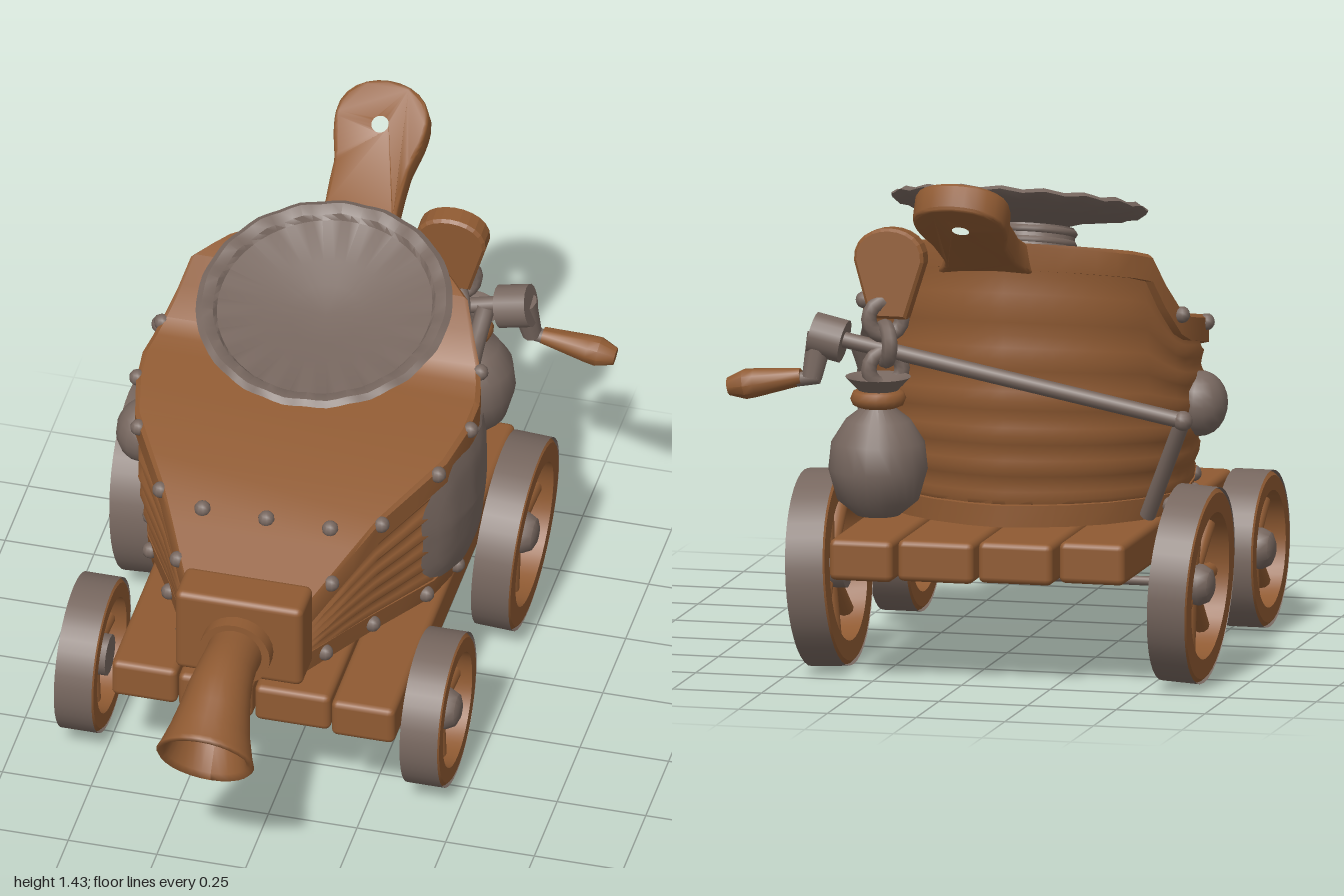
import * as THREE from 'three';
import { toCreasedNormals } from 'three/addons/utils/BufferGeometryUtils.js';
import { RoundedBoxGeometry } from 'three/addons/geometries/RoundedBoxGeometry.js';

const wood = new THREE.MeshStandardMaterial({ color: 0x8f5a32 });
wood.name = 'brown wood and leather';
const iron = new THREE.MeshStandardMaterial({ color: 0x77675f, side: THREE.DoubleSide });
iron.name = 'grey iron';
const CX = -0.065; // centre line of the cart

const V = (x, y, z) => new THREE.Vector3(x, y, z);

function add(parent, name, geo, mat, x = 0, y = 0, z = 0) {
  const m = new THREE.Mesh(geo, mat);
  m.name = name;
  m.position.set(x, y, z);
  parent.add(m);
  return m;
}

// Piecewise linear lookup in a list of [key, value] with falling keys
function lookup(list, k) {
  if (k >= list[0][0]) return list[0][1];
  for (let i = 1; i < list.length; i++) {
    const [k0, v0] = list[i - 1], [k1, v1] = list[i];
    if (k >= k1) return v0 + (v1 - v0) * (k0 - k) / (k0 - k1);
  }
  return list[list.length - 1][1];
}

const topLine = [[0.47, 0.74], [0.22, 0.86], [0, 0.92], [-0.28, 0.975], [-0.33, 1], [-0.38, 1.08], [-0.42, 1.16], [-0.46, 1.175], [-0.56, 1.2], [-0.65, 1.22]];
const bottomLine = [[0.47, 0.49], [0, 0.44], [-0.2, 0.42], [-0.65, 0.42]];
const widthLine = [[0.47, 0.18], [0.24, 0.3], [0, 0.44], [-0.12, 0.468], [-0.22, 0.475], [-0.32, 0.455],
  [-0.42, 0.39], [-0.5, 0.31], [-0.56, 0.21], [-0.6, 0.1], [-0.615, 0.02]];
const yTop = z => lookup(topLine, z), yBottom = z => lookup(bottomLine, z), halfWidth = z => lookup(widthLine, z);
const BASE = 0.92; // the bottom board is a little narrower than the top one

// Half outline of the bellows, front to back
const stations = [0.47, 0.4, 0.32, 0.22, 0.12, 0, -0.12, -0.22, -0.28, -0.33, -0.38, -0.42, -0.46, -0.5, -0.53, -0.56, -0.58, -0.6, -0.615];

// Closed stack of mirrored outlines; each level maps (x, z) to a point
function loft(levels, crease) {
  const n = stations.length, pos = [], idx = [];
  const loop = [...stations.map(z => [halfWidth(z), z]), ...stations.map(z => [-halfWidth(z), z]).reverse()];
  levels.forEach(f => loop.forEach(([x, z]) => pos.push(...f(x, z))));
  const quad = (a, b, c, d) => idx.push(a, b, c, a, c, d);
  const N = 2 * n, last = (levels.length - 1) * N;
  for (let k = 0; k < levels.length - 1; k++)
    for (let i = 0; i < N; i++) {
      const j = (i + 1) % N;
      quad(k * N + i, k * N + j, (k + 1) * N + j, (k + 1) * N + i);
    }
  for (let i = 0; i < n - 1; i++) {
    quad(last + i, last + i + 1, last + N - 2 - i, last + N - 1 - i);
    quad(N - 1 - i, N - 2 - i, i + 1, i);
  }
  const g = new THREE.BufferGeometry();
  g.setAttribute('position', new THREE.Float32BufferAttribute(pos, 3));
  g.setIndex(idx);
  return toCreasedNormals(g, crease);
}

const lathe = (pts, seg = 32) => toCreasedNormals(new THREE.LatheGeometry(pts.map(p => new THREE.Vector2(...p)), seg), 0.7);

// Straight rod between two points
function rod(parent, name, a, b, r, mat, r2 = r) {
  const m = add(parent, name, new THREE.CylinderGeometry(r2, r, a.distanceTo(b), 10), mat);
  m.position.copy(a).add(b).multiplyScalar(0.5);
  m.quaternion.setFromUnitVectors(V(0, 1, 0), b.clone().sub(a).normalize());
  return m;
}

function wheel(name, R, side) {
  const g = new THREE.Group(), w = 0.055, inner = R * 0.76;
  g.name = name;
  const ring = lathe([[inner, -w], [R - 0.01, -w], [R, -w + 0.01], [R, w - 0.01], [R - 0.01, w], [inner, w], [inner, -w]], 40);
  add(g, 'wheelRim', ring.rotateZ(Math.PI / 2), wood);
  add(g, 'wheelTyre', new THREE.CylinderGeometry(R + 0.004, R + 0.004, 2 * w - 0.004, 40, 1, true).rotateZ(Math.PI / 2), iron);
  for (let i = 0; i < 8; i++) {
    const a = i * Math.PI / 4;
    rod(g, 'spoke', V(0, 0, 0), V(0, Math.cos(a) * (inner + 0.01), Math.sin(a) * (inner + 0.01)), 0.018, wood, 0.024);
  }
  const hub = lathe([[0, -0.05], [0.058, -0.05], [0.058, 0.03], [0.045, 0.055], [0.025, 0.064], [0, 0.064]], 12);
  add(g, 'hub', hub.rotateZ(-side * Math.PI / 2), iron);
  return g;
}

export function createModel() {
  const root = new THREE.Group();
  root.name = 'bellowsCart';
  const body = new THREE.Group();
  body.name = 'bellows';
  body.position.x = CX;
  root.add(body);

  // Boards and softly pleated leather
  add(body, 'topBoard', loft([(x, z) => [x, yTop(z) - 0.075, z], (x, z) => [x, yTop(z) - 0.01, z],
    (x, z) => [x * 0.97, yTop(z), z]], 0.6), wood);
  add(body, 'bottomBoard', loft([(x, z) => [x * (BASE - 0.02), yBottom(z), z], (x, z) => [x * BASE, yBottom(z) + 0.06, z]], 0.6), wood);
  const pleats = [];
  for (let k = 0; k <= 24; k++) {
    const t = k / 24, bulge = 0.9 + 0.05 * t + 0.045 * Math.sin(Math.PI * t), fold = Math.sin(t * Math.PI * 12);
    pleats.push((x, z) => {
      const y0 = yBottom(z) + 0.05, even = Math.min(yTop(z), 0.92 - 0.22 * z);
      const front = z > -0.05, s = bulge + fold * (front ? 0.028 : 0.009) - (front ? 0.02 : 0);
      return [x * s, y0 + t * (even - y0 - 0.05) + t ** 4 * (yTop(z) - even), z < -0.1 ? -0.1 + (z + 0.1) * (s + 0.05) : z];
    });
  }
  add(body, 'leather', loft(pleats, 1.2), wood);

  // Slightly sagging handle with a hanging hole
  const hs = new THREE.Shape();
  hs.moveTo(-0.16, 0);
  hs.quadraticCurveTo(-0.1, 0.05, -0.092, 0.16);
  for (const y of [0.22, 0.28]) hs.lineTo(-0.095, y);
  hs.bezierCurveTo(-0.1, 0.32, -0.12, 0.36, -0.12, 0.42);
  hs.bezierCurveTo(-0.12, 0.55, 0.12, 0.55, 0.12, 0.42);
  hs.bezierCurveTo(0.12, 0.36, 0.1, 0.32, 0.095, 0.28);
  for (const y of [0.22, 0.16]) hs.lineTo(0.092, y);
  hs.quadraticCurveTo(0.1, 0.05, 0.16, 0);
  hs.holes.push(new THREE.Path().absarc(0, 0.4, 0.024, 0, Math.PI * 2, true));
  const hg = new THREE.ExtrudeGeometry(hs, { depth: 0.06, bevelSize: 0.01, bevelThickness: 0.01, bevelSegments: 2, curveSegments: 12 });
  const hp = hg.attributes.position;
  for (let i = 0; i < hp.count; i++) hp.setZ(i, hp.getZ(i) - 0.022 * Math.sin(Math.PI * hp.getY(i) / 0.52));
  const handle = add(body, 'handle', toCreasedNormals(hg, 0.9), wood, 0.03, 1.11, -0.54);
  handle.rotation.x = -(Math.PI / 2 - 0.53);

  // Nozzle block and bent flaring nozzle
  add(body, 'nozzleBlock', new RoundedBoxGeometry(0.36, 0.26, 0.13, 3, 0.02), wood, 0, 0.65, 0.515);
  add(body, 'nozzleCollar', new THREE.CylinderGeometry(0.1, 0.1, 0.05, 24).rotateX(Math.PI / 2), wood, 0, 0.63, 0.595);
  const path = new THREE.CatmullRomCurve3([V(0, 0.63, 0.58), V(0, 0.64, 0.68), V(0, 0.632, 0.77), V(0, 0.575, 0.86), V(0, 0.507, 0.945)]);
  const ng = new THREE.LatheGeometry([[0.078, 0], [0.076, 0.2], [0.08, 0.35], [0.088, 0.5], [0.098, 0.65], [0.112, 0.8], [0.13, 0.94],
    [0.137, 0.98], [0.13, 1], [0.115, 0.97], [0.09, 0.8], [0.07, 0.6], [0, 0.55]].map(p => new THREE.Vector2(...p)), 28);
  const np = ng.attributes.position;
  for (let i = 0; i < np.count; i++) {
    const s = np.getY(i), c = path.getPointAt(s), t = path.getTangentAt(s);
    t.y *= 1 - 0.3 * s; // the mouth stands more upright than the bend
    c.addScaledVector(V(1, 0, 0).cross(t.normalize()), np.getZ(i));
    np.setXYZ(i, np.getX(i), c.y, c.z);
  }
  ng.computeVertexNormals();
  add(body, 'nozzle', ng, wood);

  // Rivets along both boards and across the front
  const rivet = new THREE.SphereGeometry(0.023, 10, 8);
  for (const s of [-1, 1])
    for (const z of [0.4, 0.22, 0.03, -0.14, -0.33]) {
      add(body, 'rivet', rivet, iron, s * halfWidth(z), yTop(z) - 0.02, z);
      add(body, 'rivet', rivet, iron, s * halfWidth(z) * BASE, yBottom(z) + 0.03, z);
    }
  for (const x of [-0.18, 0, 0.18]) add(body, 'rivet', rivet, iron, x, yTop(0.27) + 0.002, 0.27);

  // Large bent patch on the left, small bulging one on the right
  const pg = new THREE.RingGeometry(0.001, 1, 40, 6), pp = pg.attributes.position;
  for (let i = 0; i < pp.count; i++) {
    const u = pp.getX(i), v = pp.getY(i), r = Math.hypot(u, v);
    const k = r / Math.pow(Math.abs(u) ** 3.4 + Math.abs(v) ** 3.4, 1 / 3.4) * (1 + 0.02 * Math.sin(7 * Math.atan2(v, u)));
    const z = -0.15 - u * k * 0.215;
    const lean = 0.02 * Math.max(0, -v * k) + 0.02 * Math.max(0, -u * k) ** 2;
    pp.setXYZ(i, halfWidth(z) + 0.018 - 0.012 * r ** 6 - lean, 0.69 + v * k * 0.195, z);
  }
  pg.computeVertexNormals();
  add(body, 'largePatch', pg, iron);
  add(body, 'smallPatch', new THREE.SphereGeometry(1, 16, 12).scale(0.075, 0.09, 0.085), iron, -0.465, 0.71, -0.19);

  // Tilted dish with a beaten rim, on its threaded neck
  const dish = new THREE.Group();
  dish.name = 'dish';
  dish.position.set(-0.02, 1.24, -0.19);
  dish.rotation.x = 0.28;
  root.add(dish);
  const bowl = new THREE.LatheGeometry([[0, -0.062], [0.12, -0.058], [0.2, -0.034], [0.33, -0.014], [0.352, 0.003], [0.335, 0.014],
    [0.305, 0.005], [0.295, -0.01], [0.17, -0.028], [0.1, -0.045], [0, -0.05]].map(p => new THREE.Vector2(...p)), 72);
  const bp = bowl.attributes.position;
  for (let i = 0; i < bp.count; i++) {
    const x = bp.getX(i), z = bp.getZ(i);
    if (Math.hypot(x, z) > 0.3) bp.setY(i, bp.getY(i) + 0.004 * Math.sin(18 * Math.atan2(z, x)));
  }
  add(dish, 'dishBowl', toCreasedNormals(bowl, 0.7), iron);
  add(dish, 'dishNeck', lathe([[0, -0.3], [0.17, -0.3], [0.172, -0.275], [0.135, -0.25], [0.11, -0.06], [0, -0.06]], 24), iron, CX + 0.02);
  for (const y of [-0.075, -0.105])
    add(dish, 'neckThread', new THREE.TorusGeometry(0.11, 0.011, 6, 24).rotateX(Math.PI / 2), iron, CX + 0.02, y);

  // Plank bed: left edge, right edge, front end, back end
  for (const [a, b, f, k] of [[-0.455, -0.27, 0.46, -0.74], [-0.264, -0.055, 0.47, -0.79], [-0.049, 0.165, 0.47, -0.82], [0.171, 0.35, 0.485, -0.85]])
    add(root, 'plank', new RoundedBoxGeometry(b - a, 0.115, f - k, 2, 0.018), wood, (a + b) / 2, 0.352, (f + k) / 2);

  // Wheels, front brackets and rear axle
  for (const [name, z, y, R, offs, tilt] of [['frontWheel', 0.215, 0.237, 0.212, [-0.505, 0.47], 0], ['rearWheel', -0.55, 0.276, 0.267, [-0.53, 0.49], 0.06]])
    for (const off of offs) {
      const s = Math.sign(off), w = wheel(name, R, s);
      w.position.set(CX + off, y, z);
      w.rotation.z = -s * tilt;
      root.add(w);
    }
  for (const s of [-1, 1]) add(root, 'axleBracket', new THREE.BoxGeometry(0.085, 0.12, 0.08), iron, CX + s * 0.345, 0.238, 0.22);
  rod(root, 'rearAxle', V(-0.6, 0.278, -0.55), V(0.43, 0.278, -0.55), 0.013, iron);

  // Crank: long rod across the back, bent stay, arm and wooden grip
  const crank = new THREE.Group();
  crank.name = 'crank';
  root.add(crank);
  const elbow = V(-0.59, 0.74, -0.62), hubEnd = V(0.41, 0.95, -0.7);
  rod(crank, 'crankRod', elbow, hubEnd, 0.022, iron);
  rod(crank, 'crankStay', elbow, V(-0.46, 0.45, -0.5), 0.022, iron);
  add(crank, 'crankElbow', new THREE.SphereGeometry(0.028, 12, 8), iron, elbow.x, elbow.y, elbow.z);
  add(crank, 'crankHub', new THREE.CylinderGeometry(0.06, 0.06, 0.09, 16).rotateZ(Math.PI / 2 + 0.22), iron, 0.39, 0.94, -0.69);
  rod(crank, 'crankArm', hubEnd, V(0.43, 0.83, -0.72), 0.038, iron, 0.028);
  rod(crank, 'crankPin', V(0.41, 0.835, -0.72), V(0.5, 0.82, -0.72), 0.02, iron);
  const grip = lathe([[0, 0], [0.024, 0], [0.04, 0.13], [0.042, 0.16], [0.025, 0.208], [0, 0.208]], 10);
  add(crank, 'crankGrip', grip.rotateZ(-Math.PI / 2 - 0.17), wood, 0.46, 0.832, -0.718);
  add(crank, 'crankPost', new THREE.TubeGeometry(new THREE.CatmullRomCurve3([V(0.24, 0.52, -0.58), V(0.27, 0.68, -0.61), V(0.29, 0.82, -0.63),
    V(0.31, 0.93, -0.68)]), 14, 0.026, 8), iron);

  // Flared wooden paddle with a rounded head above the crank
  const ps = new THREE.Shape();
  ps.moveTo(-0.045, 0);
  ps.lineTo(-0.09, 0.15);
  ps.bezierCurveTo(-0.1, 0.26, 0.1, 0.26, 0.09, 0.15);
  ps.lineTo(0.045, 0);
  const paddle = add(root, 'paddle', new THREE.ExtrudeGeometry(ps, { depth: 0.05, bevelSize: 0.008, bevelThickness: 0.008, bevelSegments: 1 }), wood, 0.22, 1.01, -0.705);
  paddle.rotation.x = 0.08;

  // Tied sack hanging from the rod
  const sack = lathe([[0, -0.158], [0.06, -0.148], [0.112, -0.105], [0.136, -0.02], [0.128, 0.055], [0.09, 0.115], [0.045, 0.15],
    [0.038, 0.18], [0.09, 0.235], [0.07, 0.23], [0, 0.19]], 24);
  add(root, 'sack', sack, iron, 0.235, 0.615, -0.752);
  add(root, 'sackTie', new THREE.TorusGeometry(0.052, 0.025, 8, 18).rotateX(Math.PI / 2), wood, 0.235, 0.79, -0.75);
  for (const [y, turn] of [[0.86, 0], [0.93, Math.PI / 2], [1.0, 0]])
    add(root, 'sackLink', new THREE.TorusGeometry(0.047, 0.022, 8, 16).rotateY(turn + 0.5), iron, 0.23, y, -0.69);
  return root;
}
